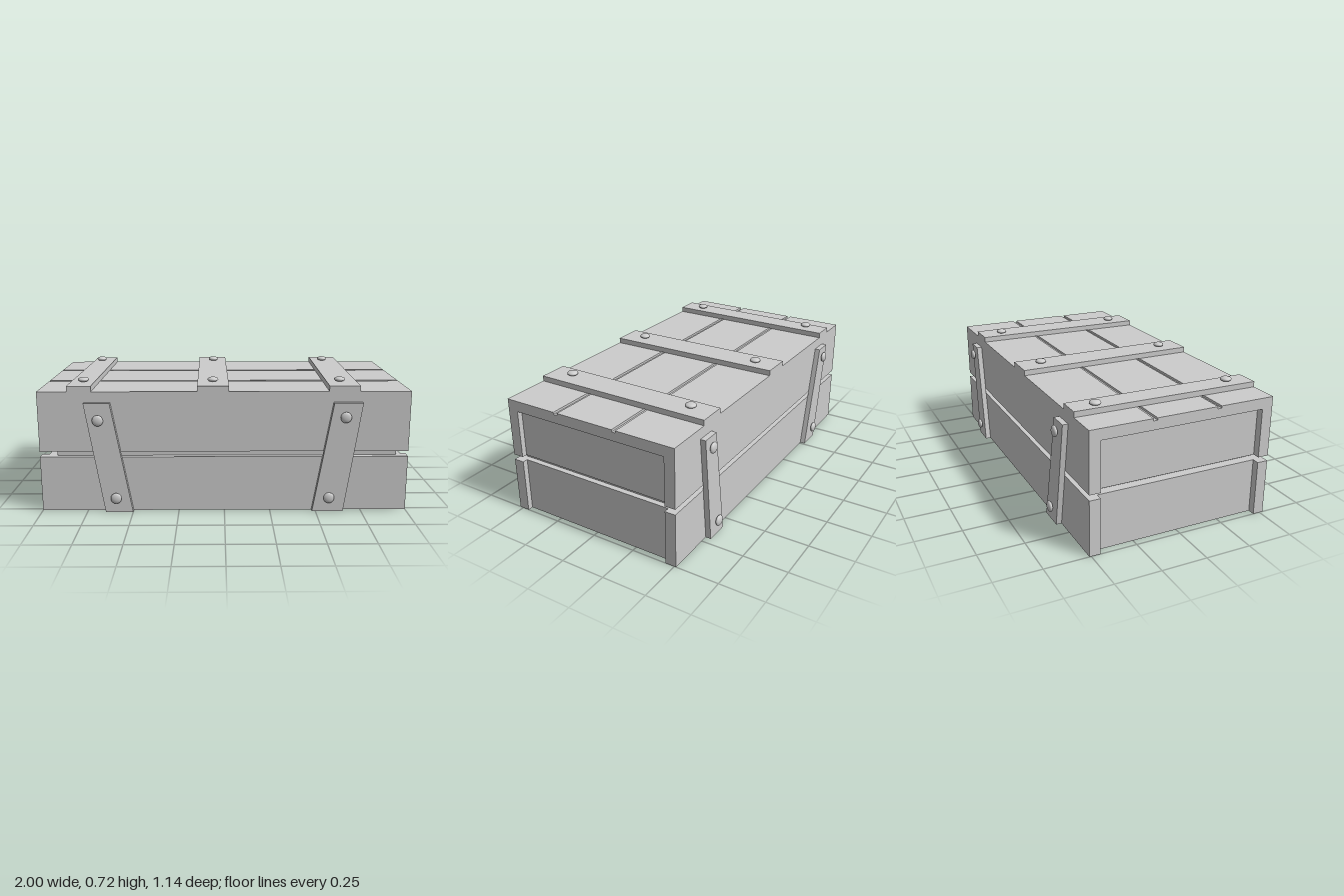
import * as THREE from 'three';

export function createModel() {
  const crate = new THREE.Group();
  crate.name = 'crate';
  const mat = new THREE.MeshStandardMaterial({ color: 0xcccccc });

  const add = (geo, name) => {
    const mesh = new THREE.Mesh(geo, mat);
    mesh.name = name;
    crate.add(mesh);
    return mesh;
  };

  // Box given by its limits on each axis
  const box = (name, [x0, x1], [y0, y1], [z0, z1]) =>
    add(new THREE.BoxGeometry(x1 - x0, y1 - y0, z1 - z0), name)
      .position.set((x0 + x1) / 2, (y0 + y1) / 2, (z0 + z1) / 2);

  // Skewed board: four outline corners given a thickness
  const board = (name, corners, depth) => {
    const shape = new THREE.Shape(corners.map(([x, y]) => new THREE.Vector2(x, y)));
    return add(new THREE.ExtrudeGeometry(shape, { depth, bevelEnabled: false }), name);
  };

  // Flattened round nail head, facing along 'y' or 'z'
  const nail = (x, y, z, axis) => {
    const head = add(new THREE.SphereGeometry(0.03, 20, 12), 'nailHead');
    head.scale[axis] = 0.45;
    head.position.set(x, y, z);
  };

  const BACK = -0.51, FRONT = 0.52, TOP = 0.665;
  const rows = [['lower', 0, 0.305], ['upper', 0.335, 0.605]];

  // Long side planks and recessed end panels, in two rows with a gap
  for (const [row, y0, y1] of rows) {
    const top = row === 'upper' ? TOP - 0.06 : y1;
    box(row + 'FrontPlank', [-1, 1], [y0, top], [0.46, FRONT]);
    box(row + 'BackPlank', [-1, 1], [y0, top], [BACK, -0.45]);
    box(row + 'EndPanels', [-0.96, 0.97], [y0, y1], [-0.45, 0.46]);
  }

  // Inner core showing in the gap between the rows
  box('innerCore', [-0.91, 0.94], [0.3, 0.34], [-0.48, 0.49]);

  // Lid with two shallow lengthwise grooves
  const grooves = [[0.187, 0.21], [-0.175, -0.153]];
  const lid = [[FRONT, 0.605], [FRONT, TOP]];
  for (const [near, far] of grooves.map(([a, b]) => [b, a])) {
    lid.push([near, TOP], [near, TOP - 0.012], [far, TOP - 0.012], [far, TOP]);
  }
  lid.push([BACK, TOP], [BACK, 0.605]);
  const lidMesh = board('lid', lid.map(([z, y]) => [-z, y]), 2);
  lidMesh.rotation.y = Math.PI / 2;
  lidMesh.position.x = -1;

  // Lid slats: x limits at the back and at the front, then nail x at each
  const slats = [
    [-0.83, -0.705, -0.84, -0.71, -0.785, -0.77],
    [-0.155, 0.015, -0.145, 0.025, -0.063, -0.062],
    [0.575, 0.735, 0.56, 0.727, 0.642, 0.633],
  ];
  for (const [b0, b1, f0, f1, nb, nf] of slats) {
    const slat = board('lidSlat', [[f0, -FRONT], [f1, -FRONT], [b1, -BACK], [b0, -BACK]], 0.03);
    slat.rotation.x = -Math.PI / 2;
    slat.position.y = TOP;
    nail(nb, 0.706, -0.378, 'y');
    nail(nf, 0.708, 0.387, 'y');
  }

  // Slanted side battens: z start, x limits at bottom and top, two nails
  const battens = [
    ['frontBatten', FRONT, -0.65, -0.5, -0.75, -0.61, [-0.59, 0.08], [-0.675, 0.515]],
    ['frontBatten', FRONT, 0.48, 0.65, 0.585, 0.74, [0.57, 0.08], [0.648, 0.53]],
    ['backBatten', BACK - 0.03, -0.65, -0.51, -0.76, -0.65, [-0.6, 0.087], [-0.688, 0.55]],
    ['backBatten', BACK - 0.03, 0.58, 0.71, 0.665, 0.77, [0.65, 0.087], [0.717, 0.55]],
  ];
  for (const [name, z, b0, b1, t0, t1, ...nails] of battens) {
    board(name, [[b0, 0], [b1, 0], [t1, 0.607], [t0, 0.607]], 0.03).position.z = z;
    for (const [x, y] of nails) nail(x, y, z > 0 ? 0.557 : -0.555, 'z');
  }

  return crate;
}
